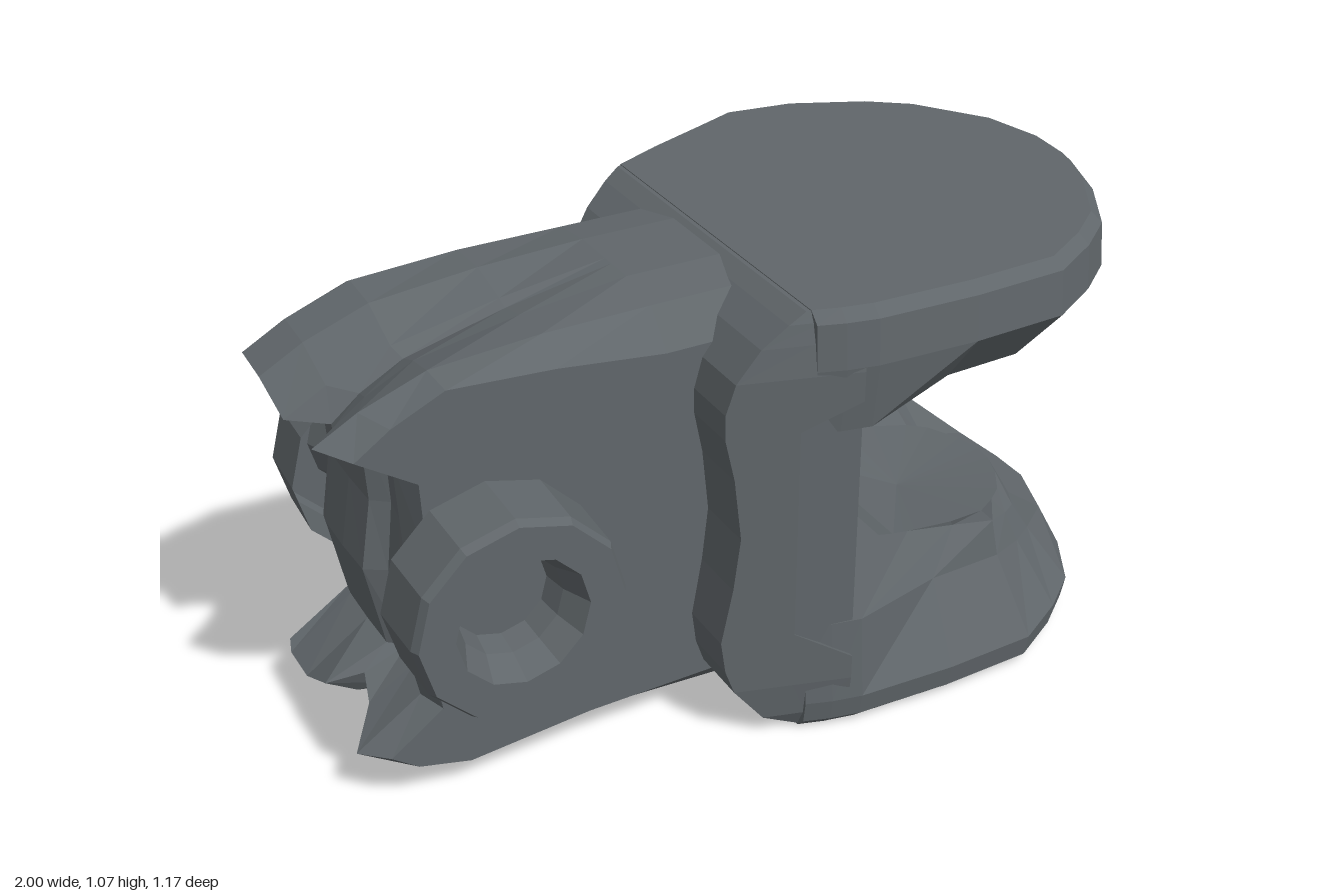
import * as THREE from 'three';

const { clamp, lerp } = THREE.MathUtils;
const material = new THREE.MeshStandardMaterial({ color: 0x60666a, flatShading: true, side: THREE.DoubleSide });

// Skin a stack of equal-length rings and close each end with a fan to a centre point.
function loft(rings, startCentre, endCentre) {
  const n = rings[0].length, last = (rings.length - 1) * n;
  const points = [...rings.flat(), startCentre, endCentre];
  const index = [];
  for (let j = 0; j < n; j++) {
    const k = (j + 1) % n;
    for (let i = 0; i < last; i += n) {
      index.push(i + j, i + k, i + n + k, i + j, i + n + k, i + n + j);
    }
    index.push(last + n, k, j, last + n + 1, last + j, last + k);
  }
  const geometry = new THREE.BufferGeometry();
  geometry.setAttribute('position', new THREE.Float32BufferAttribute(points.flat(), 3));
  geometry.setIndex(index);
  geometry.computeVertexNormals();
  return geometry;
}

function part(name, geometry) {
  const mesh = new THREE.Mesh(geometry, material);
  mesh.name = name;
  return mesh;
}

// Rounded pad footprint as x, z pairs
const padOutline = [
  [0, 0.54], [0.06, 0.56], [0.13, 0.575], [0.37, 0.585], [0.6, 0.575], [0.73, 0.5], [0.83, 0.42],
  [0.93, 0.26], [0.99, 0.1], [1, -0.02], [0.97, -0.18], [0.87, -0.38], [0.77, -0.47],
  [0.57, -0.56], [0.38, -0.585], [0.27, -0.54], [0.12, -0.44], [0, -0.37],
];

// Jaw pad: flat outer face, rounded rim, bevelled front, steep back and a recess open at the tip.
// Heights are measured inward from the outer face.
function jawPad(isTop) {
  const notch = isTop ? 0.1 : 0.17, recess = isTop ? 0.1 : 0.22, frontRim = isTop ? 0.13 : 0.08;
  const ring = (scale, height, maxX = 1, shift = 0) => padOutline.map(([x, z]) => {
    const s = scale(x, z);
    const px = Math.min(maxX, 0.41 + shift + (x - 0.41) * (x < 0.2 && !shift ? 1 : s)), pz = z * s;
    const h = height(x, px, pz);
    return [px, isTop ? 1.07 - h : h, pz];
  });
  // The back flank of the upper pad leans outward, the lower one stays upright
  const rim = (front, back) => (x, z) => lerp(front, back, clamp((-z - 0.15) / 0.3, 0, 1) * clamp((x - 0.05) / 0.2, 0, 1));
  const lip = (x, px, pz) => {
    if (px > 0.8 && Math.abs(pz) < 0.26) return notch;
    const t = clamp((px - 0.58) / 0.32, 0, 1);
    return (pz > 0 && x > 0.2 ? 0.265 : 0.285) - t * (pz < 0 ? 0.07 : 0.1);
  };
  const rings = [
    ring(rim(0.94, isTop ? 0.87 : 0.88), () => 0),
    ring(rim(0.985, isTop ? 0.9 : 0.93), () => 0.025),
    ring(rim(1, isTop ? 0.94 : 0.945), (x) => (x > 0.9 ? 0.06 : frontRim)),
    ring((x, z) => {
      if (x < 0.2) return 0.97;
      return z > 0.3 ? 0.82 : rim(0.9, isTop ? 1 : 0.94)(x, z);
    }, lip, isTop ? 0.89 : 0.93),
    ring(() => 0.54, lip, 0.87, 0.16),
    ring(() => 0.42, () => recess, 0.86, 0.2),
  ];
  const outer = [0.41, isTop ? 1.07 : 0, 0];
  const inner = [0.6, isTop ? 1.07 - recess : 0.19, 0];
  return isTop ? loft(rings.reverse(), inner, outer) : loft(rings, outer, inner);
}

// Side limits of the web at a given x
const webLeft = (x) => 0.54 + 0.3 * x;
const webRight = (x) => -0.37 - 0.53 * x;

// Upright web joining the pads, widening toward them, with a wavy rear edge
function webGeometry() {
  // height, rear x, width factor
  const levels = [
    [0.004, 0, 0.94], [0.05, -0.09, 0.98], [0.14, -0.16, 1], [0.2, -0.18, 1], [0.28, -0.19, 1],
    [0.42, -0.165, 1], [0.55, -0.15, 1], [0.7, -0.165, 1], [0.8, -0.185, 1], [0.86, -0.185, 1],
    [0.93, -0.165, 1], [1, -0.11, 0.98], [1.045, -0.05, 0.96], [1.068, -0.01, 0.94],
  ];
  const rings = levels.map(([y, rear, w]) => {
    const slim = y > 0.25 && y < 0.84;
    const front = slim ? -0.03 : 0.1, middle = (rear + front) / 2;
    const right = (x) => Math.max(webRight(x), slim ? -0.36 : -1) * w;
    return [
      [rear, y, webLeft(rear) * w], [middle, y, webLeft(middle) * w], [front, y, webLeft(front) * w],
      [front, y, right(front)], [middle, y, right(middle)], [rear, y, right(rear)],
    ];
  });
  return loft(rings, [0.05, 0.004, 0.05], [0.05, 1.068, 0.05]);
}

// Hollowed inner face of the web, pierced by four small holes and a slot
function facePlate() {
  const shape = new THREE.Shape();
  const edge = [-0.55, -0.4, -0.25, -0.09, 0.07, 0.22, 0.36];
  edge.forEach((u, i) => (i ? shape.lineTo(u, 0.24) : shape.moveTo(u, 0.24)));
  edge.reverse().forEach((u) => shape.lineTo(u, 0.85));
  for (const [z, y] of [[0.14, 0.63], [0.02, 0.6], [0.27, 0.45], [-0.1, 0.45]]) {
    shape.holes.push(new THREE.Path().absarc(-z, y, 0.05, 0, Math.PI * 2, true));
  }
  shape.holes.push(new THREE.Path([
    [-0.165, 0.3], [-0.165, 0.38], [0.02, 0.375], [0.07, 0.34], [0.08, 0.27],
  ].map((p) => new THREE.Vector2(...p))));
  const geometry = new THREE.ExtrudeGeometry(shape, { depth: 0.16, bevelEnabled: false, curveSegments: 4 })
    .rotateY(Math.PI / 2).translate(-0.05, 0, 0);
  // Bow the plate back toward its middle and keep its ends flush with the web
  const position = geometry.attributes.position;
  for (let i = 0; i < position.count; i++) {
    const x = position.getX(i), z = position.getZ(i);
    const t = (z - 0.09) / 0.46;
    position.setX(i, x - 0.06 * Math.max(0, 1 - t * t));
    position.setZ(i, clamp(z, Math.max(-0.36, webRight(x)), webLeft(x)));
  }
  geometry.computeVertexNormals();
  return geometry;
}

// Arm: a side profile swept across z, rounded at the flanks and grooved between two end lobes
function armGeometry() {
  const profile = [
    [0, 1.06], [-0.25, 1.06], [-0.5, 1.055], [-0.75, 1.035], [-0.9, 0.98], [-1, 0.925], [-0.84, 0.84],
    [-0.83, 0.62], [-0.86, 0.45], [-0.82, 0.24], [-0.975, 0.12], [-0.9, 0.075], [-0.75, 0.045],
    [-0.45, 0.03], [0, 0.01],
  ];
  // z, rounding of the flank, depth of the groove, shortening of the end
  const stations = [
    [-0.18, 0.07, 0, 0.01], [-0.15, 0.015, 0, 0], [-0.04, 0, 0.01, 0], [0.07, 0, 0.06, 0.01],
    [0.1, 0, 0.08, 0.1], [0.17, 0, 0.05, 0.08], [0.28, 0.02, 0.01, 0], [0.35, 0.1, 0, 0.06],
  ];
  const rings = stations.map(([z, round, groove, cut]) => profile.map(([x, y]) => {
    const along = clamp((-x - 0.25) / 0.5, 0, 1);
    const inset = Math.abs(y - 0.53) > 0.36 ? round * (1 - 0.7 * along) + groove * along : 0;
    return [x + cut * Math.max(0, (-x - 0.7) / 0.3), y - Math.sign(y - 0.53) * inset, z];
  }));
  return loft(rings, [-0.35, 0.5, -0.18], [-0.35, 0.5, 0.35]);
}

// Hollow pivot nut, open side facing +y before it is turned
function nutGeometry() {
  const profile = [[0.245, 0], [0.24, 0.15], [0.23, 0.17], [0.15, 0.17], [0.12, 0.1], [0.11, 0.04], [0, 0.04]];
  return new THREE.LatheGeometry(profile.map((p) => new THREE.Vector2(...p)), 12);
}

export function createModel() {
  const group = new THREE.Group();
  group.name = 'clampBracket';
  group.add(
    part('upperJawPad', jawPad(true)),
    part('lowerJawPad', jawPad(false)),
    part('jawWeb', webGeometry()),
    part('innerFacePlate', facePlate()),
    part('arm', armGeometry()),
  );
  // Pivot nuts on both sides of the arm
  for (const [name, side, z] of [['frontPivotNut', 1, 0.35], ['rearPivotNut', -1, -0.195]]) {
    const nut = part(name, nutGeometry());
    nut.rotation.x = side * Math.PI / 2;
    nut.position.set(-0.67, 0.53, z);
    group.add(nut);
  }
  return group;
}
